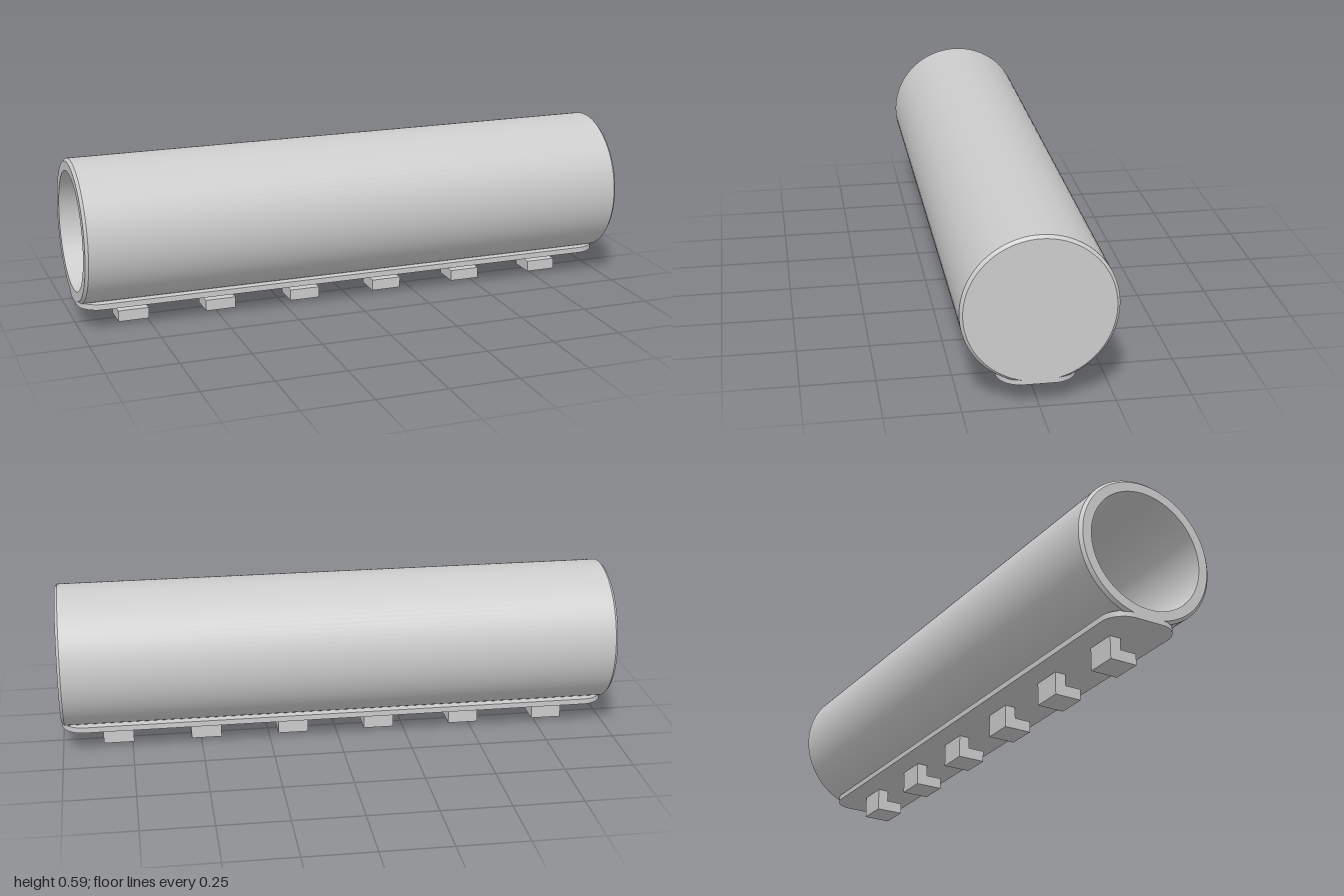
import * as THREE from 'three';
import { toCreasedNormals } from 'three/addons/utils/BufferGeometryUtils.js';

const material = new THREE.MeshStandardMaterial({ color: 0xcccccc });

function addPart(parent, name, geometry) {
  const mesh = new THREE.Mesh(geometry, material);
  mesh.name = name;
  parent.add(mesh);
  return mesh;
}

export function createModel() {
  const group = new THREE.Group();
  group.name = 'railMountedTube';

  // Hollow tube: chamfered rims, closed at +x and open at -x
  const profile = [
    [0, 0.96], [0.212, 0.96], [0.212, -1], [0.245, -1],
    [0.255, -0.99], [0.255, 0.99], [0.245, 1], [0, 1],
  ].map(([r, h]) => new THREE.Vector2(r, h));
  const tube = toCreasedNormals(new THREE.LatheGeometry(profile, 96), 0.5);
  tube.rotateZ(-Math.PI / 2);
  addPart(group, 'tube', tube).position.y = 0.336;

  // Base plate with rounded corners, drawn in plan and laid flat
  const L = 1, W = 0.13, R = 0.08;
  const plan = new THREE.Shape();
  plan.absarc(L - R, W - R, R, 0, Math.PI / 2);
  plan.absarc(-L + R, W - R, R, Math.PI / 2, Math.PI);
  plan.absarc(-L + R, -W + R, R, Math.PI, Math.PI * 1.5);
  plan.absarc(L - R, -W + R, R, Math.PI * 1.5, Math.PI * 2);
  const plate = new THREE.ExtrudeGeometry(plan, { depth: 0.02, bevelEnabled: false, curveSegments: 16 });
  plate.rotateX(-Math.PI / 2);
  addPart(group, 'basePlate', toCreasedNormals(plate, 0.5)).position.y = 0.081;

  // Row of L-shaped hooks, toes pointing to the front
  const hookShape = new THREE.Shape([
    [-0.05, 0], [0.05, 0], [0.05, 0.04], [0.01, 0.04], [0.01, 0.04],
    [-0.01, 0.04], [-0.01, 0.082], [-0.05, 0.082],
  ].filter((p, i) => i !== 3 && i !== 4).map(([z, y]) => new THREE.Vector2(-z, y)));
  const hook = new THREE.ExtrudeGeometry(hookShape, { depth: 0.11, bevelEnabled: false });
  hook.translate(0, 0, -0.055);
  hook.rotateY(Math.PI / 2); // shape x becomes -z
  for (let i = 0; i < 6; i++) {
    addPart(group, `hook${i + 1}`, hook).position.x = -0.8 + i * 0.32;
  }
  return group;
}
